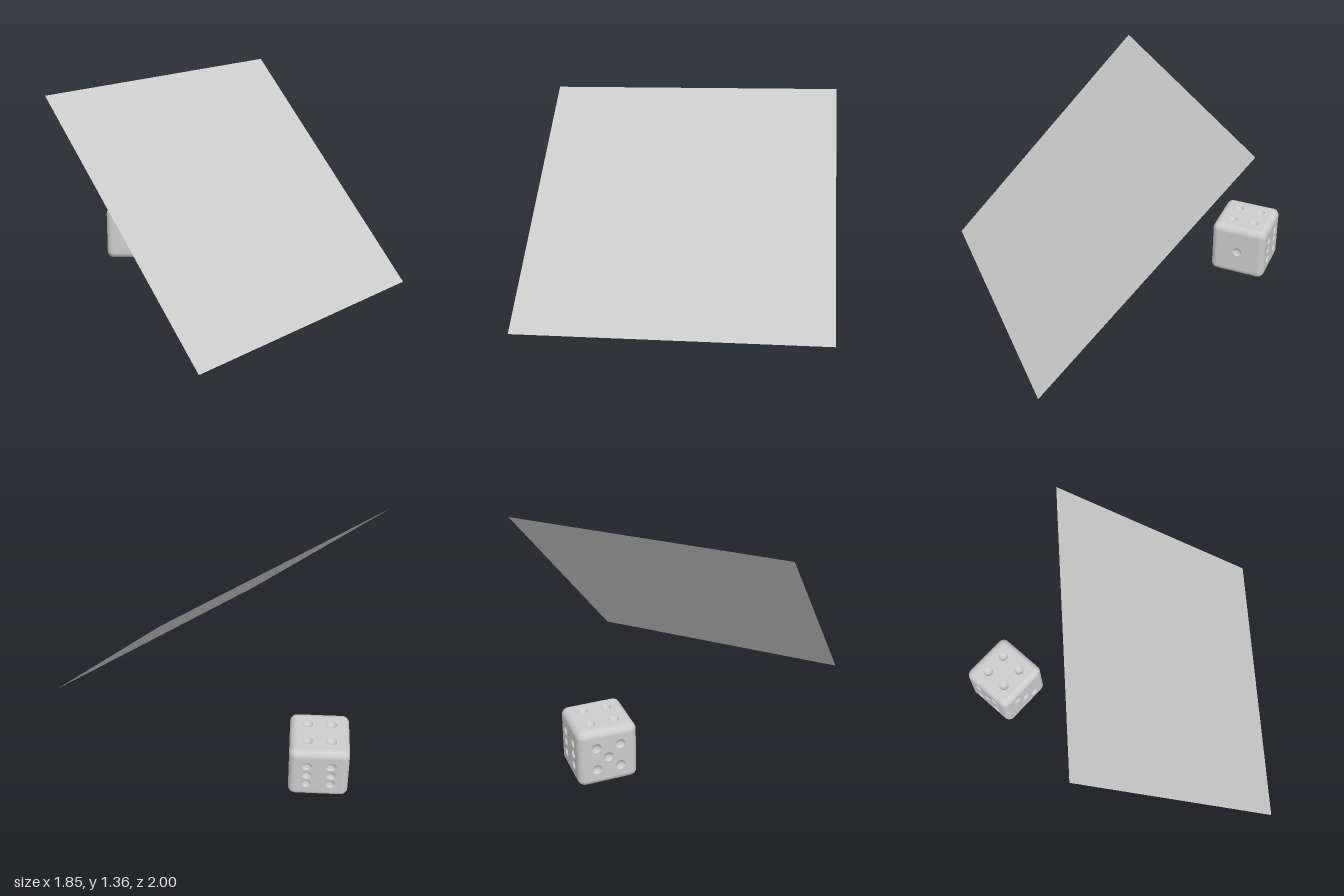
import * as THREE from 'three';
import { RoundedBoxGeometry } from 'three/addons/geometries/RoundedBoxGeometry.js';

const HALF = 0.185;      // half the die's side
const ROUND = 0.045;     // edge rounding
const STEP = 0.074;      // pip spacing
const PIP = 0.031;       // pip radius
const DEPTH = 0.019;     // pip depth

const grey = new THREE.MeshStandardMaterial({ color: 0xcccccc });
const greySheet = new THREE.MeshStandardMaterial({ color: 0xcccccc, side: THREE.DoubleSide });

function named(name, geometry, material = grey) {
  const mesh = new THREE.Mesh(geometry, material);
  mesh.name = name;
  return mesh;
}

// Rounded edges and corners only: the flat middle of each side is left open
function roundedEdges() {
  const box = new RoundedBoxGeometry(2 * HALF, 2 * HALF, 2 * HALF, 6, ROUND);
  const src = box.index ? box.toNonIndexed() : box;
  const p = src.attributes.position, n = src.attributes.normal;
  const positions = [], normals = [];
  for (let i = 0; i < p.count; i += 3) {
    const flat = ['getX', 'getY', 'getZ'].some(get => [1, -1].some(s =>
      [0, 1, 2].every(k => Math.abs(p[get](i + k) - s * HALF) < 1e-5)));
    if (flat) continue;
    for (let k = i; k < i + 3; k++) {
      positions.push(p.getX(k), p.getY(k), p.getZ(k));
      normals.push(n.getX(k), n.getY(k), n.getZ(k));
    }
  }
  const g = new THREE.BufferGeometry();
  g.setAttribute('position', new THREE.Float32BufferAttribute(positions, 3));
  g.setAttribute('normal', new THREE.Float32BufferAttribute(normals, 3));
  return g;
}

// Shallow spherical bowl opening towards +z
function pipBowl() {
  const radius = (PIP * PIP + DEPTH * DEPTH) / (2 * DEPTH);
  const angle = Math.asin(PIP / radius);
  const profile = [];
  for (let i = 0; i <= 6; i++) {
    const a = angle * (1 - i / 6);
    profile.push(new THREE.Vector2(radius * Math.sin(a), radius - DEPTH - radius * Math.cos(a)));
  }
  return new THREE.LatheGeometry(profile, 24).rotateX(Math.PI / 2);
}

// Flat side of the die with a round hole for every pip
function sidePlate(pips) {
  const h = HALF - ROUND;
  const shape = new THREE.Shape([[-h, -h], [h, -h], [h, h], [-h, h]].map(c => new THREE.Vector2(...c)));
  for (const [x, y] of pips) {
    shape.holes.push(new THREE.Path().absarc(x * STEP, y * STEP, PIP, 0, 2 * Math.PI, true));
  }
  return new THREE.ShapeGeometry(shape, 12);
}

function createDie() {
  const die = new THREE.Group();
  die.name = 'die';
  die.add(named('dieEdges', roundedEdges()));

  const centre = [[0, 0]];
  const diagonal = [[-1, 1], [1, -1]];
  const corners = [...diagonal, [1, 1], [-1, -1]];
  const Q = Math.PI / 2;
  const sides = [
    ['sideOne', centre, 0, 0],
    ['sideTwo', diagonal, Q, 0],
    ['sideThree', [...diagonal, ...centre], 0, -Q],
    ['sideFour', corners, -Q, 0],
    ['sideFive', [...corners, ...centre], 0, 2 * Q],
    ['sideSix', [...corners, [-1, 0], [1, 0]], 0, Q],
  ];
  const bowl = pipBowl();
  for (const [name, pips, rx, ry] of sides) {
    const side = new THREE.Group();
    side.name = name;
    side.rotation.set(rx, ry, 0);
    const plate = named('plate', sidePlate(pips));
    plate.position.z = HALF;
    side.add(plate);
    for (const [x, y] of pips) {
      const pip = named('pip', bowl);
      pip.position.set(x * STEP, y * STEP, HALF);
      side.add(pip);
    }
    die.add(side);
  }
  return die;
}

export function createModel() {
  const model = new THREE.Group();
  model.name = 'dieAndSheet';

  // Thin square sheet leaning back at 45 degrees
  const sheet = named('sheet', new THREE.PlaneGeometry(1.85, 1.853), greySheet);
  sheet.rotation.x = -Math.PI / 4;
  sheet.position.set(0, 0.705, 0.345);
  model.add(sheet);

  // Die standing behind it, turned by an eighth
  const die = createDie();
  die.rotation.y = Math.PI / 4;
  die.position.set(0.105, HALF, -0.757);
  model.add(die);

  return model;
}
